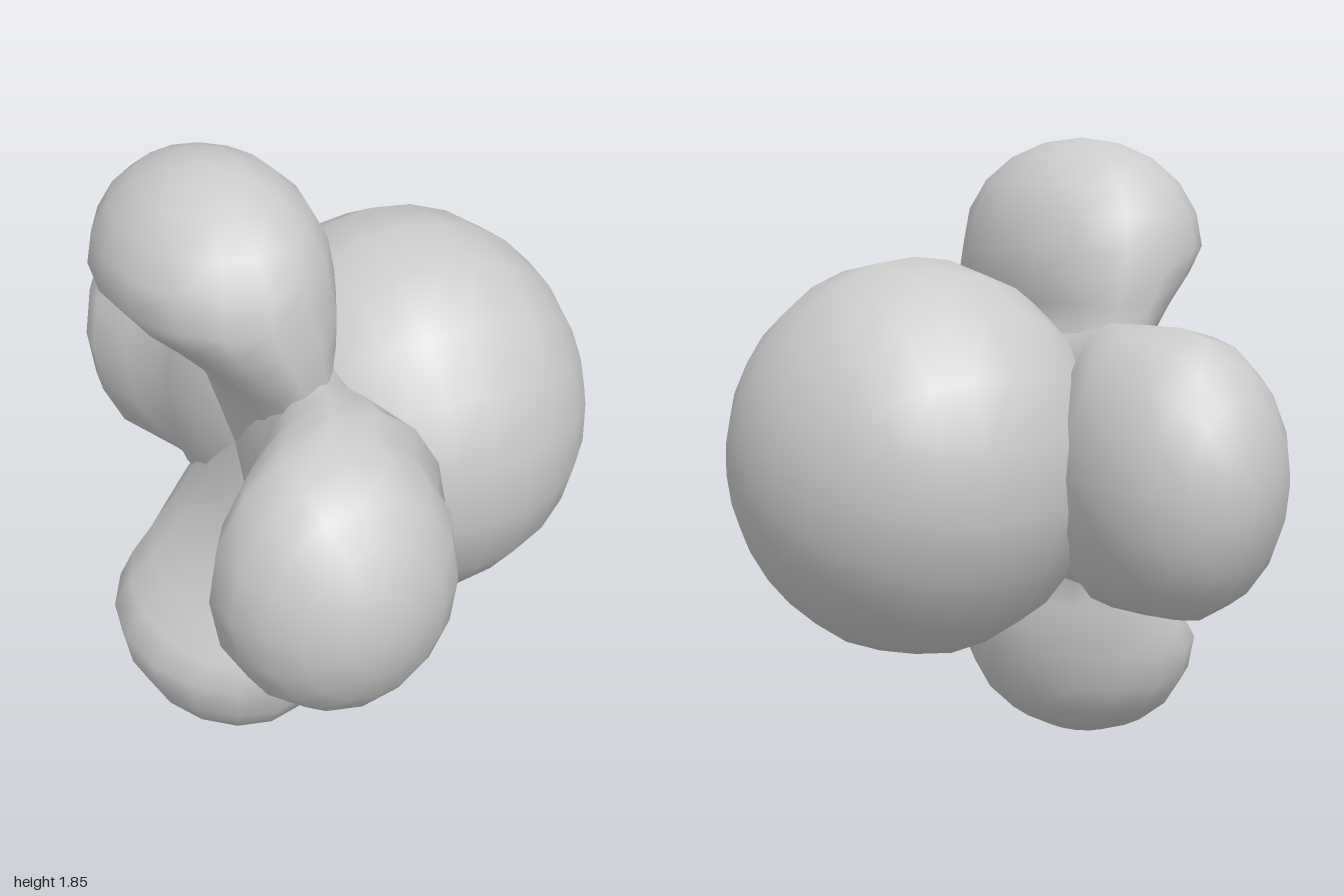
import * as THREE from 'three';
import { mergeVertices } from 'three/addons/utils/BufferGeometryUtils.js';

const SIDES = 16;
const CENTER_Y = 0.925;

// Lobe grown along +y from elliptical rings [distance, centre x, half depth, half width],
// closed by an ellipsoidal tip of the given length beyond the last ring.
function lobeGeometry(rows, tipLength) {
  const rings = rows.slice();
  const [s, c, t, w] = rows[rows.length - 1];
  for (let i = 1; i <= 5; i++) {
    const a = (i / 5) * Math.PI / 2;
    const k = i === 5 ? 0 : Math.cos(a);
    rings.push([s + tipLength * Math.sin(a), c, t * k, w * k]);
  }
  const positions = [], index = [];
  rings.forEach(([y, cx, depth, width], i) => {
    for (let j = 0; j < SIDES; j++) {
      const a = (j / SIDES) * Math.PI * 2;
      positions.push(cx + depth * Math.cos(a), y, width * Math.sin(a));
      if (i === rings.length - 1) continue;
      const p = i * SIDES + j, q = i * SIDES + (j + 1) % SIDES;
      index.push(p, p + SIDES, q);
      if (i < rings.length - 2) index.push(q, p + SIDES, q + SIDES);
    }
  });
  let geometry = new THREE.BufferGeometry();
  geometry.setAttribute('position', new THREE.Float32BufferAttribute(positions, 3));
  geometry.setIndex(index);
  geometry = mergeVertices(geometry, 1e-5);
  geometry.computeVertexNormals();
  return geometry;
}

export function createModel() {
  const group = new THREE.Group();
  const material = new THREE.MeshStandardMaterial({ color: 0xcccccc });

  // Large rounded centre
  const ball = new THREE.Mesh(new THREE.SphereGeometry(1, 18, 14), material);
  ball.name = 'centreBall';
  ball.scale.set(0.545, 0.588, 0.588);
  ball.rotation.z = Math.PI / 2;
  ball.scale.set(0.588, 0.545, 0.588);
  ball.position.set(0.19, CENTER_Y, 0);
  group.add(ball);

  // Four lobes around the x axis, thin at the neck and swollen at the tip
  const root = [[0, -0.18, 0.18, 0.36], [0.2, -0.23, 0.175, 0.39]];
  const upright = [...root, [0.355, -0.315, 0.185, 0.42], [0.45, -0.35, 0.245, 0.43],
    [0.53, -0.385, 0.298, 0.43], [0.605, -0.415, 0.325, 0.425]];
  const front = [...root, [0.38, -0.27, 0.19, 0.4], [0.47, -0.28, 0.28, 0.41],
    [0.56, -0.31, 0.35, 0.415], [0.66, -0.37, 0.35, 0.415]];
  const back = [...root, [0.36, -0.25, 0.18, 0.4], [0.45, -0.21, 0.22, 0.41],
    [0.56, -0.22, 0.265, 0.415], [0.68, -0.255, 0.3, 0.415]];

  const lobes = [
    ['topLobe', upright, 0.32, 0],
    ['frontLobe', front, 0.345, Math.PI / 2],
    ['bottomLobe', upright, 0.32, Math.PI],
    ['backLobe', back, 0.325, -Math.PI / 2],
  ];
  for (const [name, rows, tip, angle] of lobes) {
    const lobe = new THREE.Mesh(lobeGeometry(rows, tip), material);
    lobe.name = name;
    lobe.rotation.x = angle;
    lobe.position.y = CENTER_Y;
    group.add(lobe);
  }
  return group;
}
